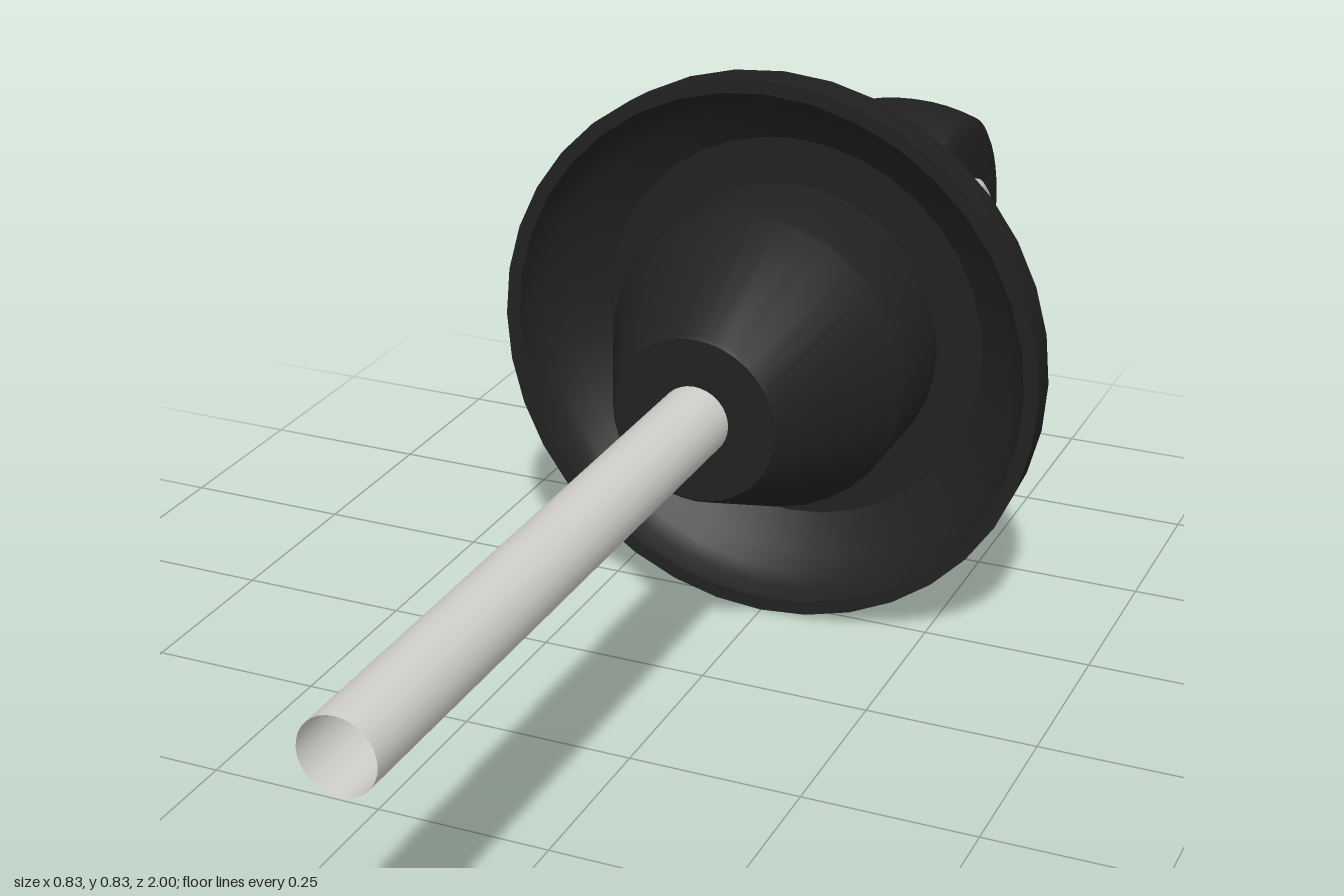
import * as THREE from 'three';
import { toCreasedNormals } from 'three/addons/utils/BufferGeometryUtils.js';
import { RoundedBoxGeometry } from 'three/addons/geometries/RoundedBoxGeometry.js';

const AXIS_Y = 0.413; // height of the main axis
const EYE_Z = -0.79; // centre of the mounting eye

// Revolve [radius, position] pairs, keeping sharp edges sharp
function lathe(points, segments) {
  const profile = points.map(([r, h]) => new THREE.Vector2(r, h));
  return toCreasedNormals(new THREE.LatheGeometry(profile, segments), 0.5);
}

export function createModel() {
  const rubber = new THREE.MeshStandardMaterial({ color: 0x212121 });
  rubber.name = 'black rubber';
  const steel = new THREE.MeshStandardMaterial({ color: 0xd0cfc9, side: THREE.DoubleSide });
  steel.name = 'pale steel';

  const model = new THREE.Group();
  model.name = 'rodMount';
  const add = (name, geometry, material, z = 0) => {
    const mesh = new THREE.Mesh(geometry, material);
    mesh.name = name;
    mesh.position.set(0, AXIS_Y, z);
    model.add(mesh);
  };

  // Collar, dished flange and tapered nose, from back to front
  const body = lathe([
    [0, -0.52], [0.215, -0.52], [0.224, -0.517], [0.228, -0.508],
    [0.228, -0.425], [0.236, -0.413], [0.39, -0.305], [0.405, -0.293], [0.409, -0.28],
    [0.413, -0.22], [0.392, -0.22],
    [0.385, -0.25], [0.37, -0.275], [0.345, -0.297], [0.295, -0.33],
    [0.226, -0.33], [0.226, -0.195], [0.222, -0.185],
    [0.124, 0.025], [0.12, 0.03], [0, 0.03],
  ], 36);
  add('flangeBody', body.rotateX(Math.PI / 2), rubber);

  // Hollow rod
  const rod = new THREE.CylinderGeometry(0.051, 0.051, 0.98, 32, 1, true);
  add('rod', rod.rotateX(Math.PI / 2), steel, 0.51);

  // Neck joining the collar to the eye
  add('neck', new RoundedBoxGeometry(0.22, 0.35, 0.19, 3, 0.012), rubber, -0.585);

  // Eye: a ring with a crowned outer face
  const eyeProfile = [[0.096, -0.11], [0.172, -0.11], [0.182, -0.107]];
  for (let i = 0; i <= 8; i++) {
    const x = -0.1 + i * 0.025;
    eyeProfile.push([0.21 - 1.7 * x * x, x]);
  }
  eyeProfile.push([0.182, 0.107], [0.172, 0.11], [0.096, 0.11], [0.096, -0.11]);
  add('eye', lathe(eyeProfile, 48).rotateZ(-Math.PI / 2), rubber, EYE_Z);

  // Steel bushing through the eye
  const bushing = lathe([
    [0.05, -0.125], [0.056, -0.131], [0.088, -0.131], [0.098, -0.122],
    [0.098, 0.122], [0.088, 0.131], [0.056, 0.131], [0.05, 0.125], [0.05, -0.125],
  ], 40);
  add('bushing', bushing.rotateZ(-Math.PI / 2), steel, EYE_Z);

  return model;
}
